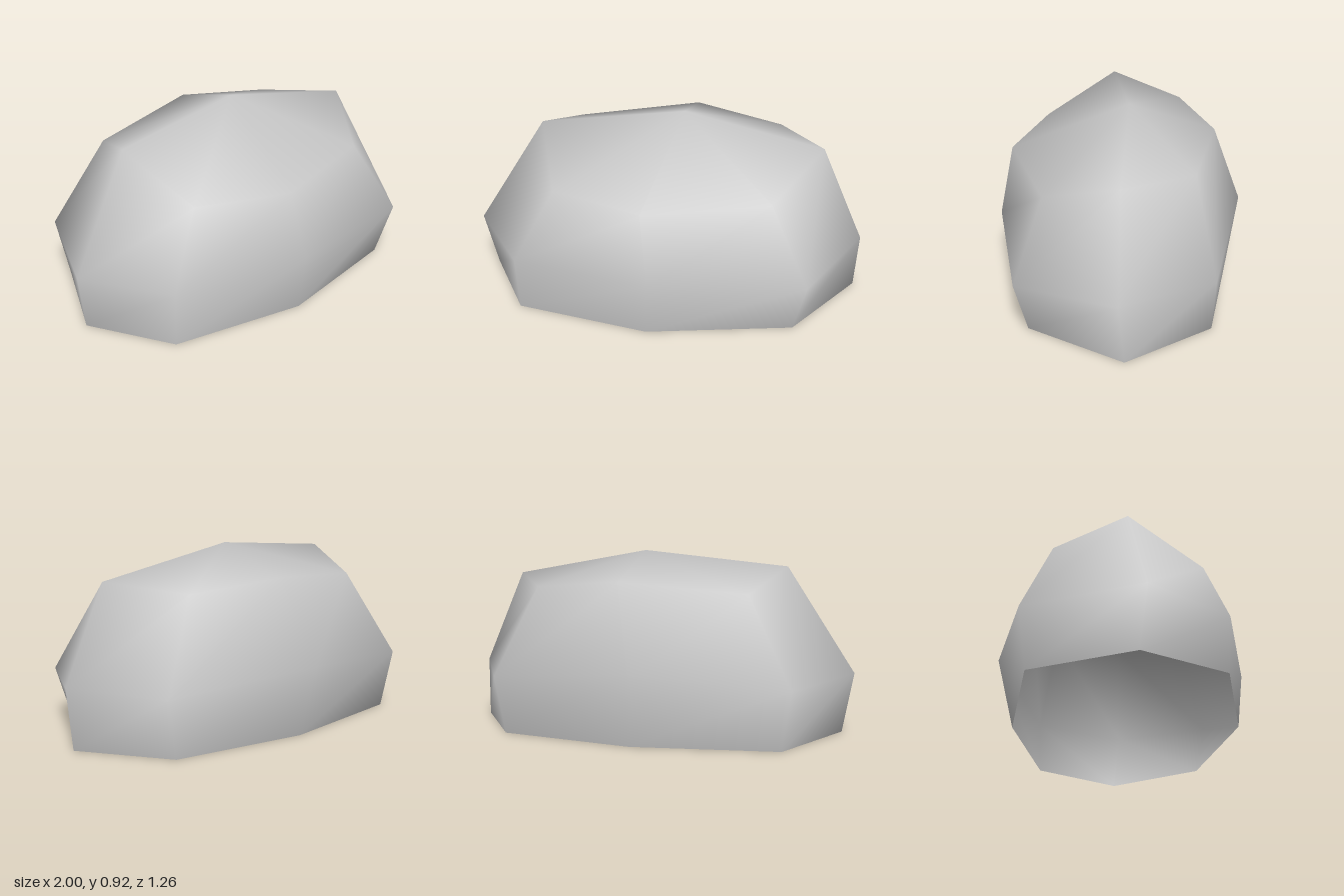
import * as THREE from 'three';

// Cross-sections of the boulder, each going round from the front towards +x
const BASE = [
  [-0.04, 0, 0.6], [0.68, 0, 0.465], [0.985, 0, 0.01], [0.71, 0, -0.42],
  [0.02, 0, -0.545], [-0.71, 0, -0.455], [-0.945, 0, 0.045], [-0.715, 0, 0.46],
];
const MIDDLE = [
  [-0.03, 0.28, 0.63], [0.74, 0.27, 0.525], [1, 0.3, 0.04], [0.765, 0.29, -0.43],
  [0, 0.36, -0.63], [-0.76, 0.295, -0.49], [-1, 0.3, 0.08], [-0.725, 0.28, 0.475],
];
const SHOULDER = [
  [-0.07, 0.635, 0.56], [0.55, 0.64, 0.385], [0.785, 0.785, 0.025], [0.555, 0.745, -0.34],
  [0.095, 0.79, -0.475], [-0.525, 0.735, -0.35], [-0.66, 0.845, 0.01], [-0.53, 0.64, 0.385],
];
const PEAK = [0.07, 0.92, -0.045];

export function createModel() {
  const stone = new THREE.MeshStandardMaterial({ color: 0xc7c7c7, side: THREE.DoubleSide });
  stone.name = 'stone grey';

  const points = [...BASE, ...MIDDLE, ...SHOULDER, PEAK].map((p) => new THREE.Vector3(...p));
  const sides = BASE.length;
  const peak = points.length - 1;
  const index = [];

  for (let i = 0; i < sides; i++) {
    const j = (i + 1) % sides;
    // Two rows of side panels, all split along the same diagonal
    for (const low of [0, sides]) {
      const high = low + sides;
      index.push(low + i, low + j, high + j, low + i, high + j, high + i);
    }
    // Crown facets meeting at the peak
    index.push(2 * sides + i, 2 * sides + j, peak);
  }

  // Smooth shell, open underneath
  const geometry = new THREE.BufferGeometry().setFromPoints(points);
  geometry.setIndex(index);
  geometry.computeVertexNormals();

  const boulder = new THREE.Mesh(geometry, stone);
  boulder.name = 'boulder';

  const group = new THREE.Group();
  group.name = 'rock';
  group.add(boulder);
  return group;
}
